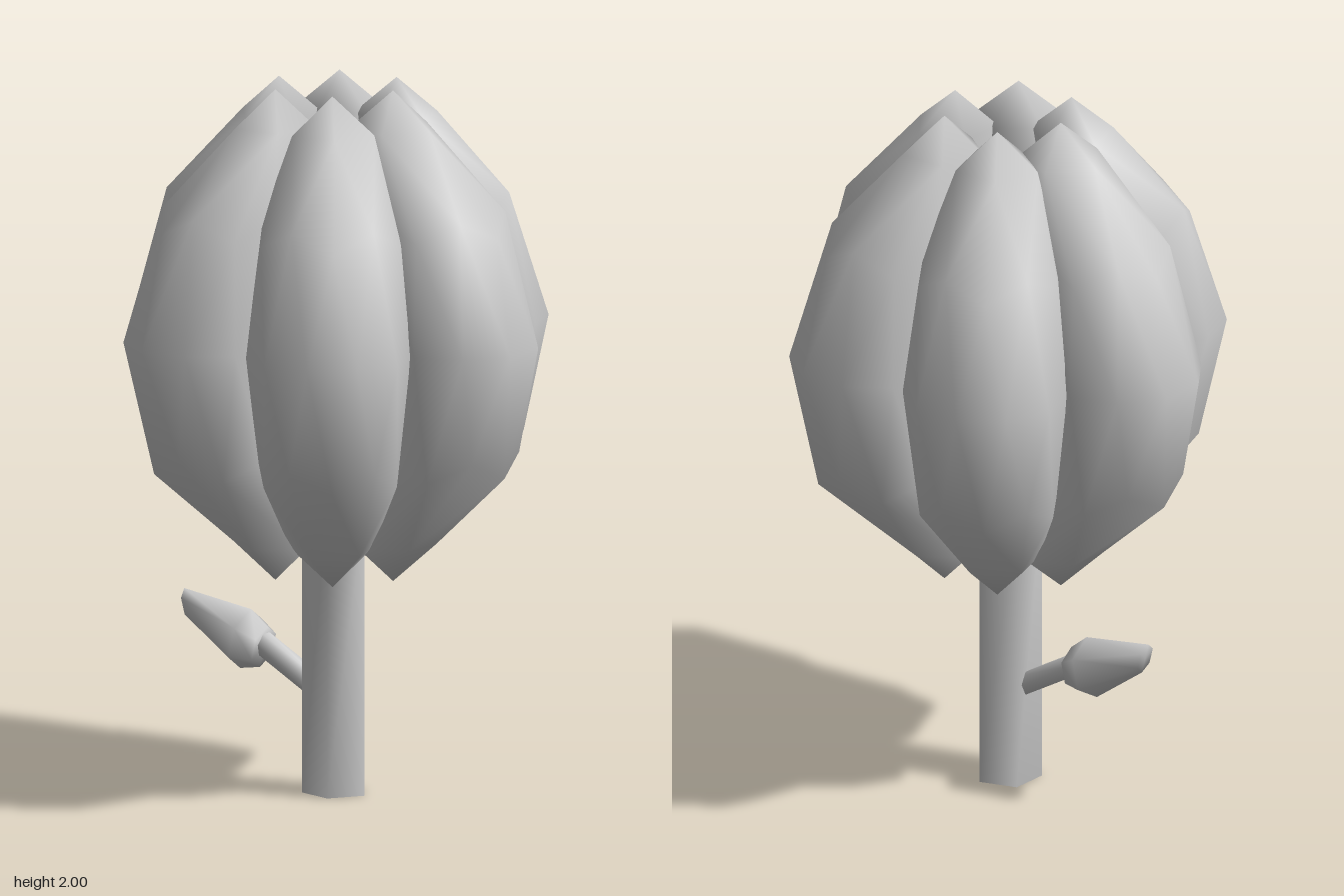
import * as THREE from 'three';
import { mergeVertices } from 'three/addons/utils/BufferGeometryUtils.js';

const rad = THREE.MathUtils.degToRad;

// Weld corners so the low-poly shapes shade smoothly
function smooth(geometry) {
  geometry.deleteAttribute('uv');
  geometry.deleteAttribute('normal');
  const g = mergeVertices(geometry, 1e-4);
  g.computeVertexNormals();
  return g;
}

// Move every vertex by a rule
function reshape(geometry, rule) {
  const p = geometry.attributes.position;
  const v = new THREE.Vector3();
  for (let i = 0; i < p.count; i++) {
    rule(v.fromBufferAttribute(p, i));
    p.setXYZ(i, v.x, v.y, v.z);
  }
  return geometry;
}

// Outward distance of the petal's core at height s (-1 to 1): tips curl inward
function lean(s) {
  if (Math.abs(s) > 0.8) return 0.188;
  if (s > 0.3) return 0.327;
  if (s < -0.3) return 0.361;
  return 0.404;
}

// Petal: tall faceted sphere bowed outward; spin turns its facets
function petalGeometry(direction, spin) {
  const g = new THREE.IcosahedronGeometry(1, 1);
  g.rotateZ(-Math.atan(2 / (1 + Math.sqrt(5)))); // a corner at each pole
  g.rotateY(-rad(spin));
  const a = rad(direction);
  reshape(g, (v) => {
    const out = lean(v.y);
    v.set(v.x * 0.228 + out * Math.cos(a), 1.308 + v.y * 0.692, v.z * 0.228 + out * Math.sin(a));
  });
  return smooth(g);
}

export function createModel() {
  const model = new THREE.Group();
  const grey = new THREE.MeshStandardMaterial({ color: 0xcccccc });
  grey.name = 'light grey';

  const add = (name, geometry) => {
    const mesh = new THREE.Mesh(geometry, grey);
    mesh.name = name;
    model.add(mesh);
    return mesh;
  };

  // Flower head: six petals, [direction, facet spin]
  const petals = [[0, 0], [60, 54], [120, 54], [180, 180], [240, 234], [300, 234]];
  petals.forEach(([direction, spin], i) => add(`petal${i + 1}`, petalGeometry(direction, spin)));

  // Five-sided stem
  const stem = new THREE.CylinderGeometry(0.094, 0.094, 0.8, 5, 1, false, Math.PI / 2);
  stem.translate(0, 0.4, 0);
  add('stem', smooth(stem));

  // Leaf stalk
  const from = new THREE.Vector3(-0.03, 0.272, 0);
  const to = new THREE.Vector3(-0.27, 0.412, 0);
  const stalk = add('leafStalk', smooth(new THREE.CylinderGeometry(0.034, 0.034, from.distanceTo(to), 6)));
  stalk.position.copy(from).lerp(to, 0.5);
  stalk.quaternion.setFromUnitVectors(new THREE.Vector3(0, 1, 0), to.clone().sub(from).normalize());

  // Leaf: cross-sections from base to blunt tip [centre x, y, half-edge x, y, half-depth]
  const sections = [
    [-0.238, 0.383, 0.013, 0.058, 0.06],
    [-0.298, 0.4, 0.018, 0.085, 0.085],
    [-0.488, 0.475, -0.012, 0.045, 0.03],
  ];
  const leaf = new THREE.CylinderGeometry(1, 1, 2, 6, 2, false, Math.PI / 2);
  reshape(leaf, (v) => {
    const [cx, cy, hx, hy, depth] = sections[Math.round(v.y) + 1];
    v.set(cx + hx * v.x, cy + hy * v.x, v.z * depth);
  });
  add('leaf', smooth(leaf));

  return model;
}
